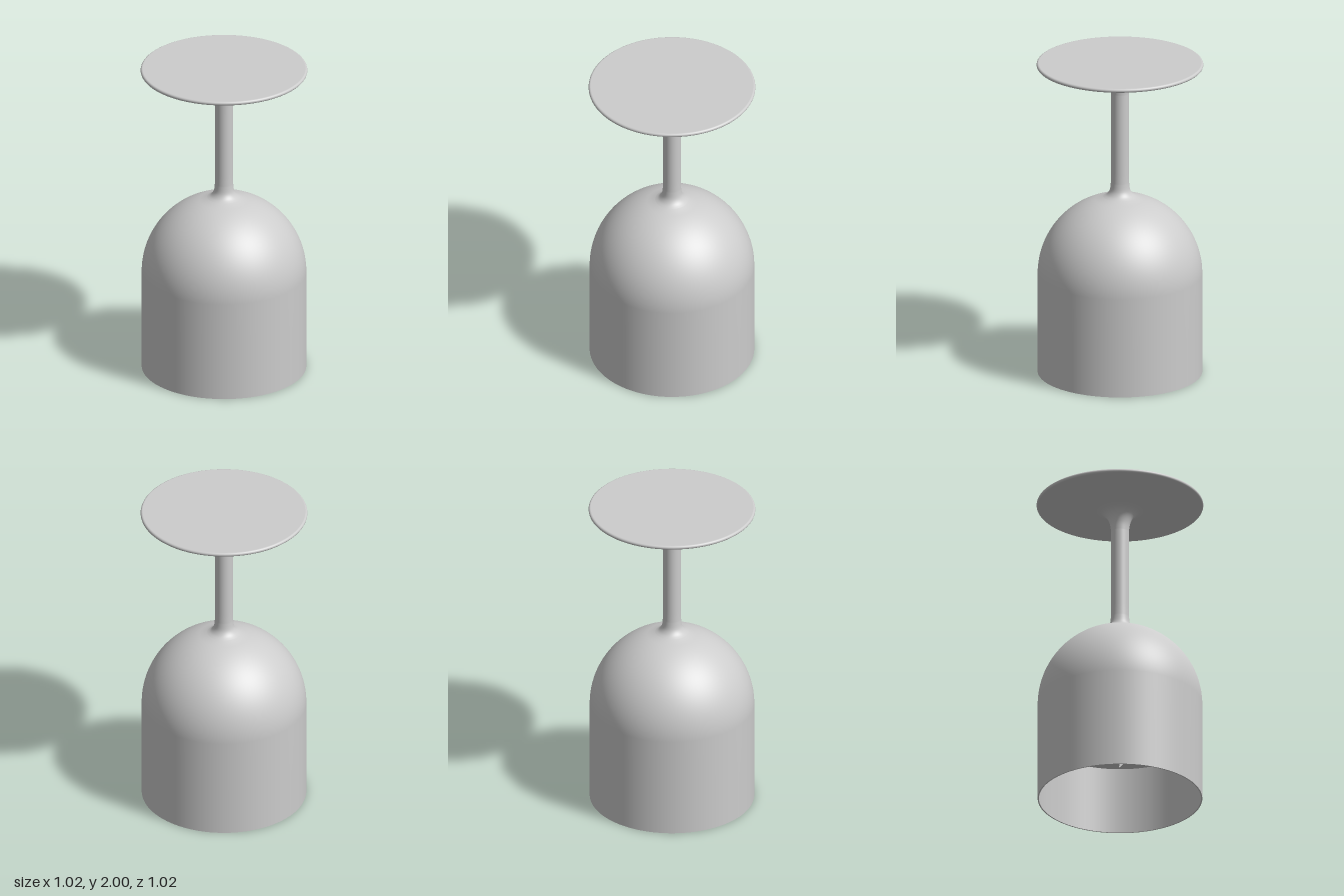
import * as THREE from 'three';

// Upturned stemmed glass, turned from profiles about the y axis.
export function createModel() {
  const glass = new THREE.MeshStandardMaterial({ color: 0xcccccc });
  glass.name = 'pale grey glass';
  const thin = new THREE.MeshStandardMaterial({ color: 0xcccccc, side: THREE.DoubleSide });
  thin.name = 'pale grey leaf';

  const model = new THREE.Group();
  model.name = 'upturnedGlass';
  const R = 0.506, wall = 0.008, dome = 0.635, fill = 0.43;

  const turn = (name, points) => {
    const mesh = new THREE.Mesh(
      new THREE.LatheGeometry(points.map(([x, y]) => new THREE.Vector2(x, y)), 96), glass);
    mesh.name = name;
    model.add(mesh);
  };

  // Arc points round a centre, from angle a to angle b in degrees
  const arc = (cx, cy, r, a, b, n) => Array.from({ length: n + 1 }, (_, i) => {
    const t = THREE.MathUtils.degToRad(a + (b - a) * i / n);
    return [cx + r * Math.cos(t), cy + r * Math.sin(t)];
  });

  // Sample a smooth curve through a few profile points
  const smooth = (pts, n) => new THREE.SplineCurve(pts.map(p => new THREE.Vector2(...p)))
    .getPoints(n).map(p => [p.x, p.y]);

  // Bowl: flat inner surface, inner wall, rim and domed outside
  turn('innerSurface', [[0, fill], [R - wall, fill]]);
  turn('innerWall', [[R - wall, fill], [R - wall, 0]]);
  turn('rim', [[R - wall, 0], [R, 0]]);
  turn('bowl', [[R, 0], [R, 0.3], ...arc(0, dome, R, 0, 75, 28),
    // neck fillet, stem and flare into the foot
    ...smooth([[0.105, 1.134], [0.08, 1.15], [0.062, 1.18], [0.056, 1.23]], 12),
    [0.055, 1.3], [0.055, 1.7],
    ...smooth([[0.055, 1.8], [0.06, 1.85], [0.076, 1.895], [0.105, 1.928],
      [0.15, 1.947], [0.21, 1.957], [0.35, 1.967], [0.495, 1.975]], 32),
    // rounded edge of the foot
    ...arc(0.5, 1.9875, 0.0125, -75, 90, 10)]);
  turn('footTop', [[0.5, 2], [0, 2]]);

  // Small pair of leaf tips hanging inside the bowl
  const leaf = (name, root, bend, tip, width) => {
    const s = new THREE.Shape();
    s.moveTo(root, fill);
    s.quadraticCurveTo(bend, 0.28, ...tip);
    s.quadraticCurveTo(bend + width, 0.31, root + width, fill);
    const mesh = new THREE.Mesh(new THREE.ShapeGeometry(s, 10), thin);
    mesh.name = name;
    mesh.rotation.y = -Math.PI * 0.75;
    model.add(mesh);
  };
  leaf('largeLeaf', -0.1, -0.09, [0.01, 0.205], 0.08);
  leaf('smallLeaf', -0.03, 0.0, [0.03, 0.235], 0.05);

  return model;
}
